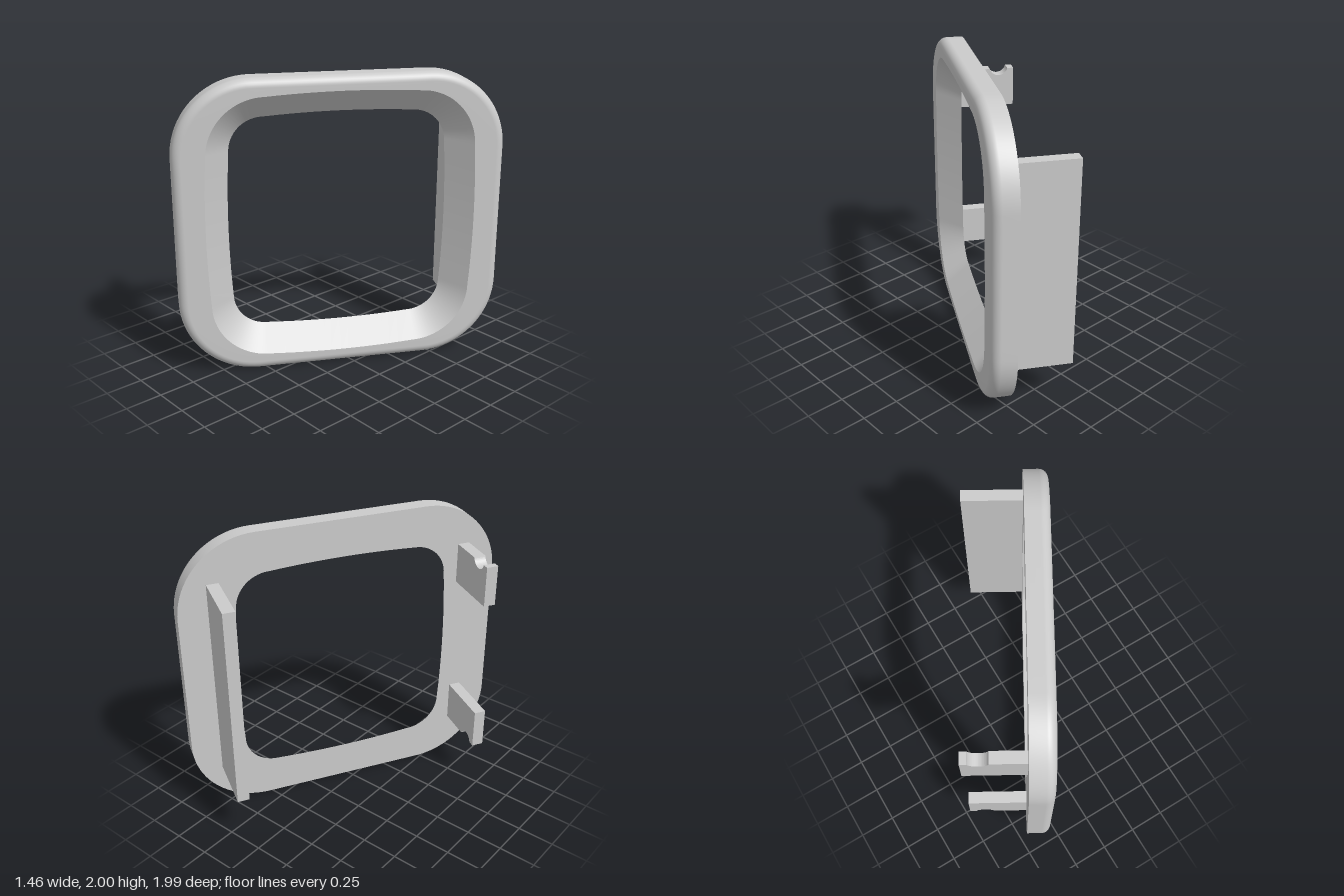
import * as THREE from 'three';

const BACK = 0.046, FRONT = 0.207, FILLET = 0.06, TAIL = -0.356;
const MID_Y = 1, TAB_X = 0.862, TAB_T = 0.08;
const material = new THREE.MeshStandardMaterial({ color: 0xcccccc });

// Closed rounded-rectangle loop, counter-clockwise; (cx, cy) are the corner centres,
// bulge bows the sides outward.
function ring(z, cx, cy, r, bulge = 0) {
  const pts = [], arc = 20, side = 12;
  for (let q = 0; q < 4; q++) {
    const a0 = q * Math.PI / 2, a1 = a0 + Math.PI / 2;
    const sx = q === 0 || q === 3 ? 1 : -1, sy = q < 2 ? 1 : -1;
    for (let i = 0; i <= arc; i++) {
      const a = a0 + (a1 - a0) * i / arc;
      pts.push([sx * cx + r * Math.cos(a), MID_Y + sy * cy + r * Math.sin(a), z]);
    }
    const nx = Math.round(Math.cos(a1)), ny = Math.round(Math.sin(a1));
    for (let i = 1; i < side; i++) {
      const t = 1 - 2 * i / side, out = r + bulge * (1 - t * t);
      pts.push([
        nx ? nx * (cx + out) : sx * cx * t,
        MID_Y + (ny ? ny * (cy + out) : sy * cy * t),
        z,
      ]);
    }
  }
  return pts;
}

// Smooth skin through a series of matching loops
function loft(rings) {
  const n = rings[0].length, index = [];
  for (let k = 0; k < rings.length - 1; k++) {
    for (let i = 0; i < n; i++) {
      const j = (i + 1) % n, a = k * n, b = a + n;
      index.push(a + i, a + j, b + j, a + i, b + j, b + i);
    }
  }
  const geo = new THREE.BufferGeometry();
  geo.setAttribute('position', new THREE.Float32BufferAttribute(rings.flat(2), 3));
  geo.setIndex(index);
  geo.computeVertexNormals();
  return geo;
}

function addMesh(parent, name, geometry) {
  const mesh = new THREE.Mesh(geometry, material);
  mesh.name = name;
  parent.add(mesh);
  return mesh;
}

// Bezel frame: filleted outer rim, flat back, and an opening that flares to the front
function makeFrame() {
  const frame = new THREE.Group();
  frame.name = 'frame';
  const outer = (inset, z) => ring(z, 0.577, 0.48, 0.52 - inset);
  const openBack = ring(BACK, 0.5, 0.5, 0.2245, 0.0175);
  const openFront = ring(FRONT, 0.5, 0.5, 0.3845, 0.0175);
  const shell = [outer(0, BACK)];
  for (let i = 0; i <= 8; i++) {
    const a = i / 8 * Math.PI / 2;
    shell.push(outer(FILLET * (1 - Math.cos(a)), FRONT - FILLET * (1 - Math.sin(a))));
  }
  shell.push(openFront);
  addMesh(frame, 'outerRim', loft(shell));
  addMesh(frame, 'flaredOpening', loft([openFront, openBack]));
  addMesh(frame, 'backFace', loft([openBack, outer(0, BACK)]));
  return frame;
}

// Clip tab with a round notch in its outer edge; s = 1 upper, -1 lower
function makeClip(s) {
  const shape = new THREE.Shape();
  const inner = 0.42, edge = 0.6975, cz = -0.2475, cv = 0.715, r = 0.067;
  const y = v => MID_Y + s * v;
  shape.moveTo(BACK, y(inner));
  shape.lineTo(BACK, y(edge));
  const a0 = Math.asin((cv - edge) / r);
  for (let i = 0; i <= 20; i++) {
    const a = a0 + (Math.PI - 2 * a0) * i / 20;
    shape.lineTo(cz + r * Math.cos(a), y(cv - r * Math.sin(a)));
  }
  shape.lineTo(TAIL, y(edge));
  shape.lineTo(TAIL, y(inner));
  shape.closePath();
  return new THREE.ExtrudeGeometry(shape, { depth: TAB_T, bevelEnabled: false });
}

export function createModel() {
  const model = new THREE.Group();
  model.name = 'bezelFrame';
  const body = new THREE.Group();
  body.name = 'body';
  body.rotation.y = Math.PI / 3;
  body.position.set(0.023, 0, -0.04);
  model.add(body);

  body.add(makeFrame());

  // Long retaining wall behind one side
  const wall = addMesh(body, 'retainingWall', new THREE.BoxGeometry(TAB_T, 1.395, BACK - TAIL));
  wall.position.set(TAB_X, MID_Y + 0.002, (BACK + TAIL) / 2);

  // Pair of notched clips behind the other side
  for (const s of [1, -1]) {
    const clip = addMesh(body, s > 0 ? 'upperClip' : 'lowerClip', makeClip(s));
    clip.rotation.y = -Math.PI / 2;
    clip.position.x = -TAB_X + TAB_T / 2;
  }
  return model;
}
